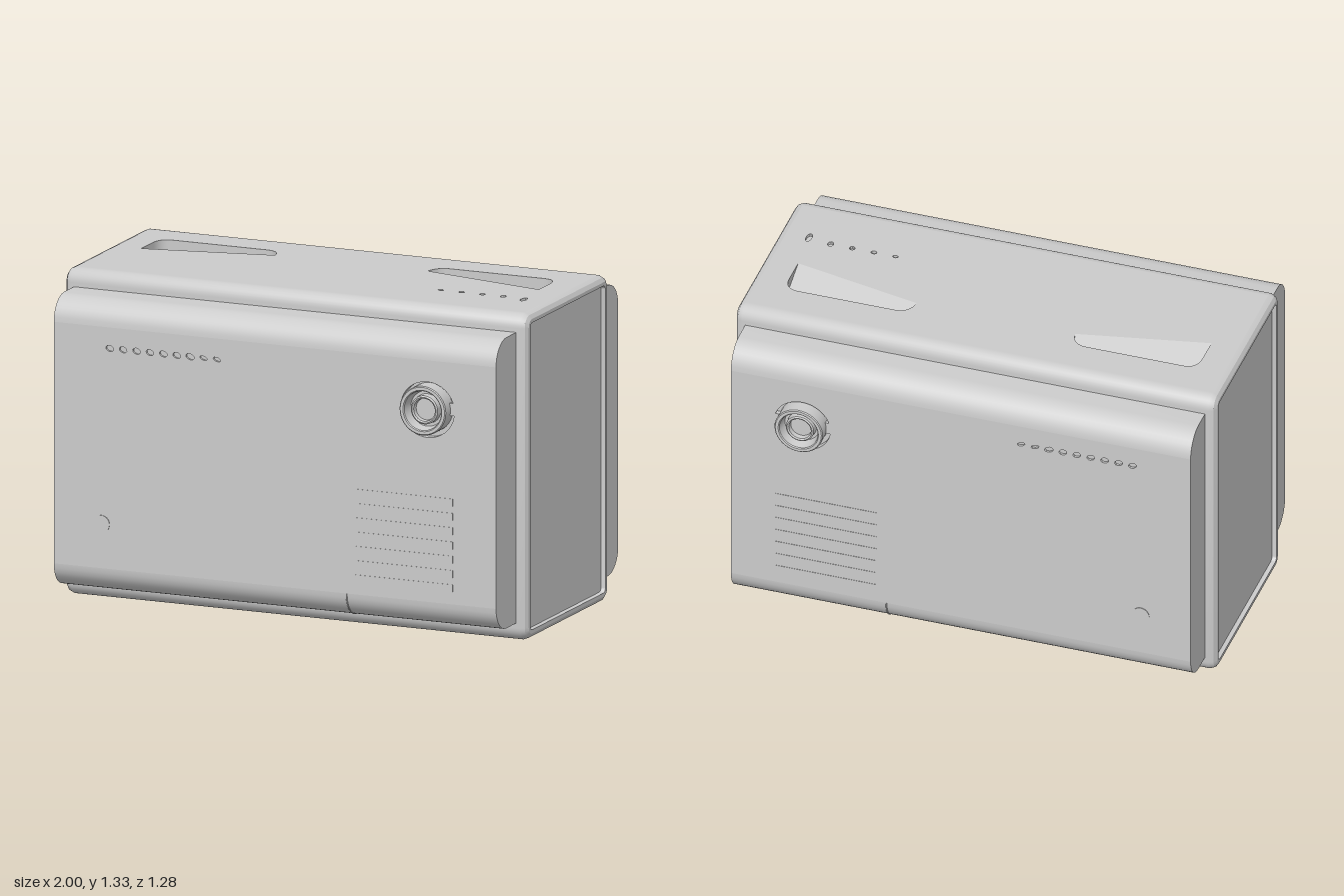
import * as THREE from 'three';
import { toCreasedNormals } from 'three/addons/utils/BufferGeometryUtils.js';

const material = new THREE.MeshStandardMaterial({ color: 0xcccccc });
const STEPS = 8; // segments per rounded corner

function add(parent, name, geometry, x = 0, y = 0, z = 0) {
  const mesh = new THREE.Mesh(geometry, material);
  mesh.name = name;
  mesh.position.set(x, y, z);
  parent.add(mesh);
  return mesh;
}

function fromPositions(positions, crease = 0.5) {
  const g = new THREE.BufferGeometry();
  g.setAttribute('position', new THREE.Float32BufferAttribute(positions, 3));
  g.computeVertexNormals();
  return toCreasedNormals(g, crease);
}

// Rounded-rectangle section across x, shrunk by an inset; closed = collapsed to the centre
function section({ x, inset, closed }, hy, hz, r) {
  const pts = [];
  const rr = Math.max(r - inset, 0.02);
  for (let k = 0; k < 4; k++) {
    const sz = k === 0 || k === 3 ? 1 : -1;
    const sy = k < 2 ? 1 : -1;
    for (let i = 0; i <= STEPS; i++) {
      const a = (k + i / STEPS) * Math.PI / 2;
      const z = sz * (hz - inset - rr) + rr * Math.cos(a);
      const y = sy * (hy - inset - rr) + rr * Math.sin(a);
      pts.push(closed ? [x, 0, 0] : [x, y, z]);
    }
  }
  return pts;
}

// Skin through sections; openFlats (0 top, 1 back, 2 bottom, 3 front) are left out of the main span
function loft(sections, hy, hz, r, openFlats) {
  const rings = sections.map(s => section(s, hy, hz, r));
  const n = rings[0].length;
  const out = [];
  for (let i = 0; i < rings.length - 1; i++) {
    const main = [sections[i], sections[i + 1]].every(s => s.inset === 0 && !s.closed);
    for (let j = 0; j < n; j++) {
      const isFlat = j % (STEPS + 1) === STEPS;
      if (main && isFlat && openFlats.includes(Math.floor(j / (STEPS + 1)))) continue;
      const k = (j + 1) % n;
      const a = rings[i][j], b = rings[i][k], c = rings[i + 1][k], d = rings[i + 1][j];
      if (!sections[i].closed) out.push(...a, ...d, ...b);
      if (!sections[i + 1].closed) out.push(...d, ...c, ...b);
      if (sections[i].closed) out.push(...a, ...d, ...c);
    }
  }
  return fromPositions(out);
}

// Flat rectangle facing +z with sunken pockets
function pocketedFace(parent, name, x0, x1, y0, y1, pockets) {
  const group = new THREE.Group();
  group.name = name;
  const plate = new THREE.Shape([[x0, y0], [x1, y0], [x1, y1], [x0, y1]].map(p => new THREE.Vector2(...p)));
  for (const { label, points, depth } of pockets) {
    const pts = points.map(p => p.clone());
    if (THREE.ShapeUtils.isClockWise(pts)) pts.reverse();
    plate.holes.push(new THREE.Path(pts));
    const floor = new THREE.ShapeGeometry(new THREE.Shape(pts));
    const pos = floor.attributes.position;
    for (let i = 0; i < pos.count; i++) pos.setZ(i, -depth(pos.getX(i), pos.getY(i)));
    floor.computeVertexNormals();
    add(group, label + 'Floor', floor);
    const wall = [];
    pts.forEach((a, i) => {
      const b = pts[(i + 1) % pts.length];
      const da = -depth(a.x, a.y), db = -depth(b.x, b.y);
      wall.push(a.x, a.y, 0, b.x, b.y, 0, b.x, b.y, db, a.x, a.y, 0, b.x, b.y, db, a.x, a.y, da);
    });
    add(group, label + 'Wall', fromPositions(wall));
  }
  add(group, name + 'Plate', new THREE.ShapeGeometry(plate));
  parent.add(group);
  return group;
}

function ellipse(label, x, y, rx, ry, d, n = 12, tilt = 0) {
  const points = new THREE.EllipseCurve(x, y, rx, ry, 0, Math.PI * 2, false, tilt).getPoints(n).slice(0, n);
  return { label, points, depth: () => d };
}

// Grip whose floor slopes up to meet the slanted front edge
function handle(s) {
  const sh = new THREE.Shape();
  sh.moveTo(0.86 * s, 0.04);
  sh.lineTo(0.33 * s, 0.15);
  sh.quadraticCurveTo(0.34 * s, 0.22, 0.4 * s, 0.22);
  sh.lineTo(0.8 * s, 0.22);
  sh.quadraticCurveTo(0.86 * s, 0.22, 0.86 * s, 0.15);
  return {
    label: 'handle',
    points: sh.getPoints(8),
    depth: (x, y) => Math.max(0, 0.4 * (y - 0.04 - (0.86 - Math.abs(x)) / 0.53 * 0.11)),
  };
}

// Turned fitting: raised collar around a stepped centre
function tapGeometry() {
  const profile = [[0.1, -0.03], [0.1, 0.045], [0.096, 0.049], [0.084, 0.049], [0.08, 0.045], [0.072, 0],
    [0.06, 0], [0.058, 0.03], [0.052, 0.034], [0.046, 0.03], [0.044, 0.01], [0, 0.01]];
  const g = new THREE.LatheGeometry(profile.map(p => new THREE.Vector2(...p)), 40);
  g.rotateX(Math.PI / 2);
  return toCreasedNormals(g, 0.6);
}

// Face of the wide shell with its fittings; s = 1 front, -1 back
function sideFace(parent, s) {
  const pockets = [ellipse('tapRecess', 0.66 * s, 0.955, 0.117, 0.113, 0.025, 36)];
  for (let i = 0; i < 9; i++) {
    const size = i === 6 ? 0.019 : 0.017;
    pockets.push(ellipse('indicator', (-0.715 + i * 0.058) * s, 1.07, size, i > 6 ? 0.008 : 0.012, 0.01, 10, -0.3 * s));
  }
  const face = pocketedFace(parent, s > 0 ? 'frontFace' : 'backFace', -0.957, 0.957, 0.175, 1.155, pockets);
  face.position.z = s * 0.59;
  if (s < 0) face.rotation.y = Math.PI;

  add(face, 'tap', tapGeometry(), 0.66 * s, 0.96, 0);
  // Small lugs either side of the collar
  for (const t of [-1, 1]) add(face, 'tapLug', new THREE.BoxGeometry(0.03, 0.05, 0.02), (0.66 + t * 0.108) * s, 0.965, -0.01);

  const button = new THREE.CylinderGeometry(0.035, 0.035, 0.006, 28);
  button.rotateX(Math.PI / 2);
  add(face, 'button', button, -0.75 * s, 0.355, 0);

  for (let i = 0; i < 7; i++) {
    add(face, 'ventSlat', new THREE.BoxGeometry(0.42, 0.03, 0.003), 0.56 * s, 0.24 + i * 0.058, 0);
  }
  // Fine seam around the lower corner
  const seam = new THREE.TorusGeometry(0.1, 0.003, 6, 12, Math.PI / 2);
  seam.rotateZ(-Math.PI / 2);
  seam.rotateY(-Math.PI / 2);
  add(face, 'seam', seam, 0.31 * s, 0.175, -0.1);
}

export function createModel() {
  const model = new THREE.Group();
  model.name = 'applianceBox';

  // Tall core with a bevelled rim and sunken end panels
  const half = [
    { x: 0.97, inset: 0 }, { x: 0.99, inset: 0.009 }, { x: 1, inset: 0.025 },
    { x: 1, inset: 0.04 }, { x: 0.982, inset: 0.042 }, { x: 0.982, inset: 0.042, closed: true },
  ];
  const sections = [...half.map(s => ({ ...s, x: -s.x })).reverse(), ...half];
  const hy = 0.663, hz = 0.403, r = 0.055, zc = -0.008;
  add(model, 'core', loft(sections, hy, hz, r, [0]), 0, hy, zc);

  // Core top with two grips and a row of indicator dimples
  const dimples = [0.51, 0.6, 0.69, 0.78, 0.875].map((x, i) =>
    ellipse('dimple', x, i === 4 ? -0.14 : -0.125, 0.012, [0.008, 0.01, 0.012, 0.016, 0.027][i], 0.012, 10));
  const top = pocketedFace(model, 'coreTop', -0.97, 0.97, -zc - hz + r, -zc + hz - r, [handle(-1), handle(1), ...dimples]);
  top.rotation.x = -Math.PI / 2;
  top.position.y = 2 * hy;

  // Wide rounded shell passing through the core
  const shell = [
    { x: -0.957, inset: 0, closed: true }, { x: -0.957, inset: 0 },
    { x: 0.957, inset: 0 }, { x: 0.957, inset: 0, closed: true },
  ];
  add(model, 'shell', loft(shell, 0.59, 0.59, 0.1, [1, 3]), 0, 0.665, 0);
  for (const s of [1, -1]) sideFace(model, s);

  return model;
}
